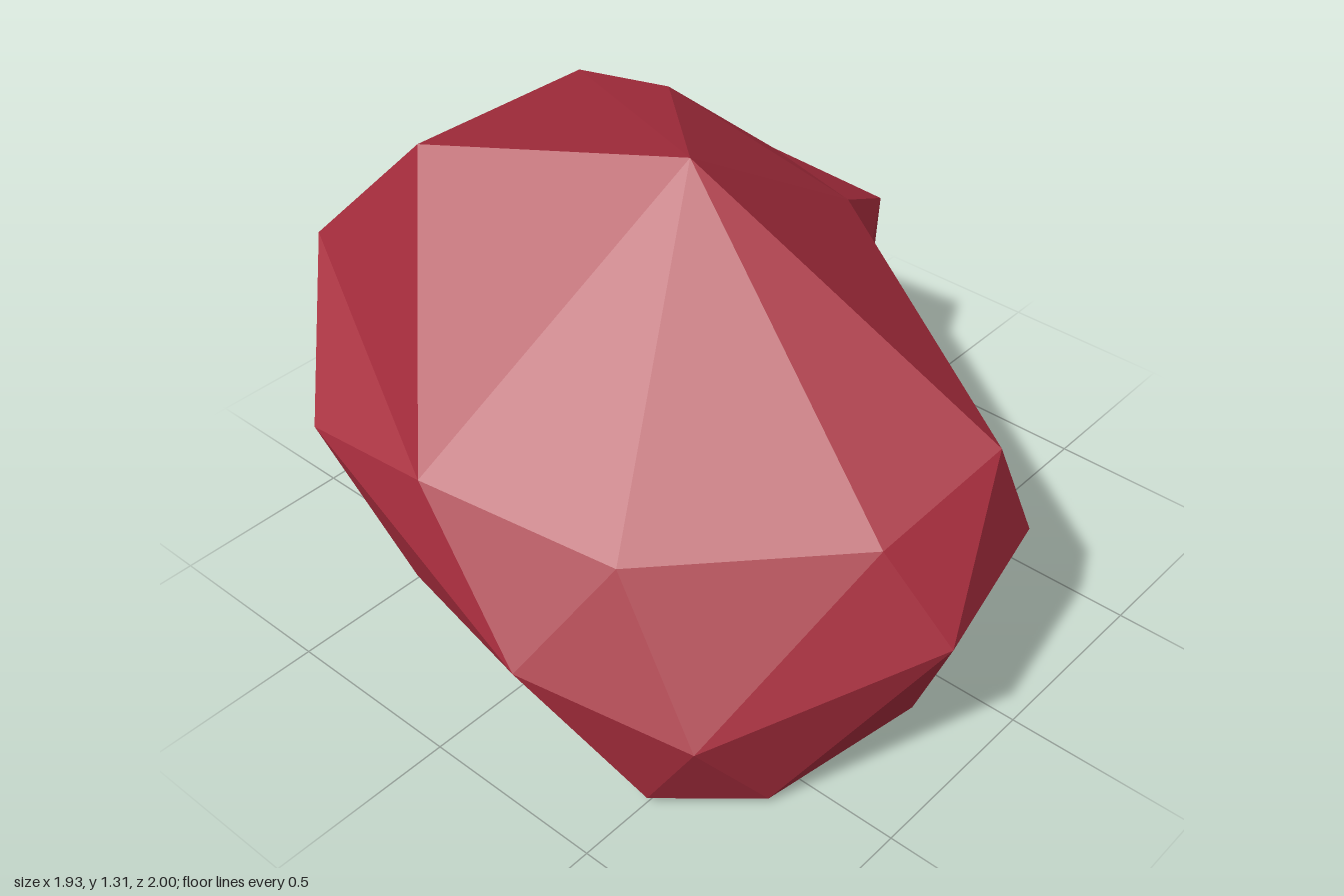
import * as THREE from 'three';
import { ConvexGeometry } from 'three/addons/geometries/ConvexGeometry.js';

// Corners of the faceted boulder, grouped by region and shared by neighbouring lobes
const crown = { peak: [-0.15, 1.313, 0.07], ridge: [-0.44, 1.24, -0.55], shoulder: [0.355, 1.11, -0.46], shoulderBack: [0.335, 1.06, -0.775] };
const back = {
  top: [0.33, 0.89, -1], topRight: [-0.515, 0.885, -0.89], mid: [-0.235, 0.81, -0.957],
  low: [0.09, 0.5, -0.91], edge: [0.545, 0.575, -0.957], foot: [0.47, 0.22, -0.82], corner: [0.64, 0.345, -0.88],
};
const flank = {
  back: [-0.92, 0.715, -0.445], top: [-0.9, 0.725, -0.1], widest: [-0.965, 0.385, 0.25],
  under: [-0.87, 0.365, -0.18], underBack: [-0.76, 0.53, -0.5], bulge: [-0.745, 0.63, 0.375],
};
const nose = {
  brow: [0, 0.797, 0.885], browSide: [-0.35, 0.68, 0.82], tip: [-0.305, 0.458, 0.998],
  cheek: [0.113, 0.503, 0.917], chin: [-0.25, 0.145, 0.865], cheekSide: [-0.8, 0.272, 0.655],
};
const toe = { outer: [-0.805, 0.03, 0.51], inner: [-0.61, 0.02, 0.72] };
const dent = { deep: [0.115, 0.515, 0.325], lip: [0.592, 0.825, -0.025], floor: [0.273, 0.288, 0.255] };
const side = {
  top: [0.846, 0.685, -0.1], tip: [0.962, 0.428, -0.265], mid: [0.872, 0.625, -0.405],
  upper: [0.695, 0.81, -0.373], rear: [0.695, 0.62, -0.643], low: [0.768, 0.39, -0.65], under: [0.69, 0.2, -0.53],
};
const base = {
  lowest: [0.08, 0, -0.09], right: [0.51, 0.067, -0.02], front: [-0.03, 0.052, 0.59],
  notch: [-0.36, 0.14, 0.33], notchSide: [-0.69, 0.28, 0.025],
};
const all = Object.values;

// Each lobe is convex; the dent, the creases and the underside notch remain where lobes meet
const lobes = {
  upperBody: [...all(crown), back.top, back.topRight, back.mid, back.edge, flank.top, flank.widest, flank.bulge,
    nose.brow, nose.browSide, dent.lip, dent.deep, side.upper, side.rear, base.notch, base.notchSide],
  backRim: [back.topRight, back.mid, flank.back, flank.top],
  leftFoot: [crown.peak, flank.top, flank.widest, flank.bulge, nose.brow, nose.browSide,
    nose.tip, nose.chin, nose.cheekSide, ...all(toe), base.notch, base.notchSide],
  leftUnderside: [flank.back, flank.top, flank.widest, flank.under, toe.outer, base.notchSide],
  frontNose: [nose.brow, nose.tip, nose.cheek, nose.chin, dent.deep, base.front, base.notch],
  cheekWall: [nose.cheek, dent.deep, dent.floor, base.front, base.notch],
  dentFloor: [dent.deep, dent.floor, base.front, base.right, base.lowest, base.notch],
  rightSide: [...all(dent), ...all(side), base.lowest, base.right, base.notch],
  rightRear: [side.upper, side.rear, side.low, side.under, back.top, back.low, back.edge, back.foot,
    back.corner, base.lowest, base.notch],
  underside: [base.lowest, base.notch, base.notchSide, flank.under, flank.underBack, flank.back, flank.top,
    back.foot, back.low, back.mid, back.top],
};

export function createModel() {
  const model = new THREE.Group();
  model.name = 'boulder';
  const redStone = new THREE.MeshStandardMaterial({ color: 0xa52c3c });
  redStone.name = 'red stone';
  for (const [name, corners] of Object.entries(lobes)) {
    const points = corners.map((p) => new THREE.Vector3(...p));
    const mesh = new THREE.Mesh(new ConvexGeometry(points), redStone);
    mesh.name = name;
    model.add(mesh);
  }
  return model;
}
